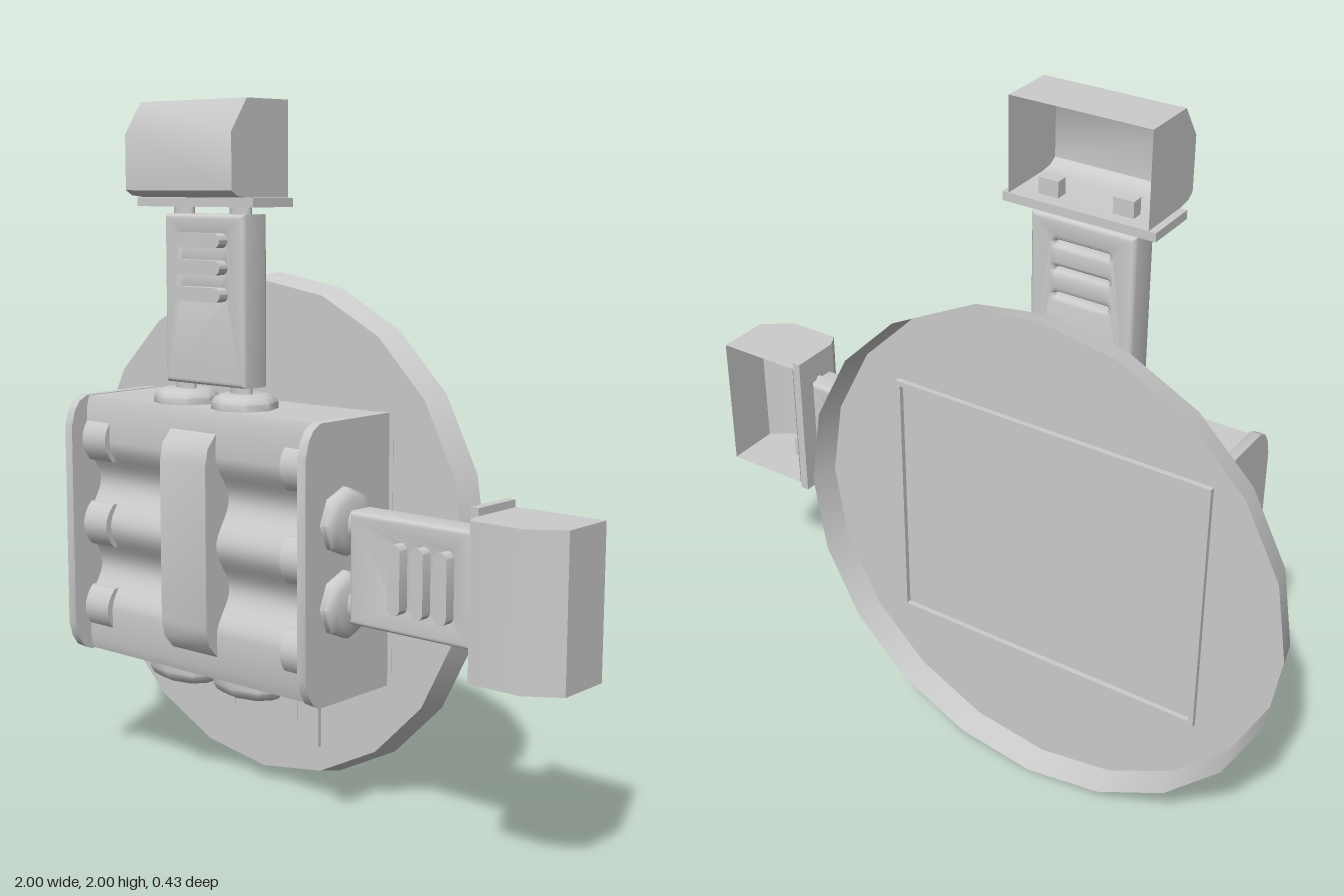
import * as THREE from 'three';
import { toCreasedNormals } from 'three/addons/utils/BufferGeometryUtils.js';

const grey = new THREE.MeshStandardMaterial({ color: 0xcccccc, side: THREE.DoubleSide });
const CX = -0.243, CY = 0.76;

function add(parent, name, geo, x = 0, y = 0, z = 0) {
  const m = new THREE.Mesh(geo, grey);
  m.name = name;
  m.position.set(x, y, z);
  parent.add(m);
  return m;
}
const box = (w, h, d) => new THREE.BoxGeometry(w, h, d);
const poly = (pts) => new THREE.Shape(pts.map(([a, b]) => new THREE.Vector2(a, b)));

// Extrudes a (z, y) outline along x, centred
function alongX(pts, width) {
  const g = new THREE.ExtrudeGeometry(poly(pts), { depth: width, bevelEnabled: false });
  g.translate(0, 0, -width / 2).rotateY(-Math.PI / 2);
  return toCreasedNormals(g, 0.6);
}

// Open sheet swept along x from a (z, y) path
function sheetX(pts, width) {
  const g = new THREE.PlaneGeometry(width, 1, 1, pts.length - 1);
  const p = g.attributes.position;
  for (let i = 0; i < p.count; i++) {
    const [z, y] = pts[Math.floor(i / 2)];
    p.setXYZ(i, p.getX(i), y, z);
  }
  return toCreasedNormals(g, 0.9);
}

// Shallow eight-sided socket
function socket(r, h) {
  const pts = [[r, 0], [r, h * 0.45], [r * 0.9, h * 0.8], [r * 0.72, h], [0, h]];
  return toCreasedNormals(new THREE.LatheGeometry(pts.map(([a, b]) => new THREE.Vector2(a, b)), 8), 0.9);
}

// Rounded slot outline
function slot(cy, w, h, Type) {
  const s = new Type(), r = h / 2;
  s.absarc(w / 2 - r, cy, r, -Math.PI / 2, Math.PI / 2);
  s.absarc(-w / 2 + r, cy, r, Math.PI / 2, Math.PI * 1.5);
  s.closePath();
  return s;
}

// Arm with a hollow head; grows along +y from its base
function makeArm(name, len) {
  const g = new THREE.Group();
  g.name = name;
  const y0 = 0.06, y1 = y0 + len, zc = 0.055;
  for (const s of [-1, 1]) {
    add(g, 'socket', socket(0.095, 0.042), s * 0.115, 0, 0.06);
    for (const y of [y0 - 0.01, y1 + 0.01]) {
      const pin = add(g, 'pin', new THREE.CylinderGeometry(0.038, 0.038, 0.06, 16), s * 0.11, y, 0.067);
      pin.scale.z = 0.5;
    }
  }
  // Slab with bevelled edges and three slots, each closed at the front by a rib
  const b = 0.014;
  const slab = poly([[-0.155 + b, y0 + b], [0.155 - b, y0 + b], [0.155 - b, y1 - b], [-0.155 + b, y1 - b]]);
  const ribs = [0, 1, 2].map((i) => y1 - 0.072 - i * 0.075);
  for (const y of ribs) slab.holes.push(slot(y, 0.19, 0.04, THREE.Path));
  const sg = new THREE.ExtrudeGeometry(slab, {
    depth: 0.1 - 2 * b, bevelSize: b, bevelThickness: b, bevelSegments: 3, curveSegments: 8 });
  add(g, 'armSlab', toCreasedNormals(sg, 0.7), 0, 0, zc - 0.05 + b);
  for (const y of ribs) {
    const rg = new THREE.ExtrudeGeometry(slot(y, 0.19, 0.04, THREE.Shape), {
      depth: 0.075, bevelEnabled: false, curveSegments: 8 });
    add(g, 'rib', toCreasedNormals(rg, 0.6), 0, 0, 0.063);
  }
  // Flange and thin-walled head, open at the back
  const f = y1 + 0.02, h = f + 0.025, top = h + 0.265;
  add(g, 'flange', box(0.45, 0.025, 0.16), 0, f + 0.0125, 0.06);
  const wall = [[-0.022, h + 0.001], [0.14, h + 0.001], [0.18, h + 0.006], [0.203, h + 0.02],
    [0.203, top - 0.09], [0.142, top], [-0.022, top]];
  add(g, 'headShell', sheetX(wall, 0.41));
  for (const s of [-1, 1]) {
    add(g, 'headSide', new THREE.ShapeGeometry(poly(wall)).rotateY(-Math.PI / 2), s * 0.205);
    add(g, 'prong', box(0.06, 0.05, 0.035), s * 0.11, h + 0.022, 0.035);
  }
  return g;
}

export function createModel() {
  const root = new THREE.Group();

  // Hollow twenty-sided dish, open at the back
  const rim = new THREE.CylinderGeometry(0.737, 0.757, 0.077, 20, 1, true).rotateX(Math.PI / 2);
  add(root, 'dishRim', rim, CX, CY, -0.1795);
  add(root, 'dishFace', new THREE.CircleGeometry(0.737, 20), CX, CY, -0.141);

  // Rectangular frame inside the dish
  for (const s of [-1, 1]) {
    add(root, 'frameSide', box(0.015, 0.785, 0.016), CX + s * 0.482, CY, -0.148);
    add(root, 'frameRail', box(0.979, 0.015, 0.016), CX, CY + s * 0.385, -0.148);
  }

  // Body with three soft waves across the front
  const body = [[-0.141, 0.372], [0.142, 0.372], [0.15, 0.4]];
  for (let k = 0; k <= 32; k++) {
    const t = k / 32;
    body.push([0.127 + 0.026 * Math.cos(t * Math.PI * 4), 0.505 + 0.515 * t]);
  }
  body.push([0.15, 1.12], [0.142, 1.148], [-0.141, 1.148]);
  add(root, 'body', alongX(body, 0.92), CX);

  // End plates with rounded front corners, and curved tabs on each wave
  const plate = [[-0.141, 0.37], [0.15, 0.37], [0.18, 0.385], [0.2, 0.415], [0.212, 0.46],
    [0.212, 1.06], [0.2, 1.105], [0.18, 1.135], [0.15, 1.15], [-0.141, 1.15]];
  const tab = [[0.12, -0.065]];
  for (let k = 0; k <= 8; k++) {
    const t = k / 4 - 1;
    tab.push([0.172 - 0.03 * t * t, 0.065 * t]);
  }
  tab.push([0.12, 0.065]);
  for (const s of [-1, 1]) {
    add(root, 'endPlate', alongX(plate, 0.03), CX + s * 0.461);
    for (let i = 0; i < 3; i++) add(root, 'endTab', alongX(tab, 0.1), CX + s * 0.397, 0.505 + i * 0.2575);
  }

  // Strap with bent ends
  add(root, 'strap', alongX([[0.08, 0.44], [0.15, 0.44], [0.185, 0.48], [0.195, 0.53],
    [0.195, 0.995], [0.185, 1.045], [0.15, 1.085], [0.08, 1.085]], 0.18), CX);

  // Two arms
  const topArm = makeArm('topArm', 0.48);
  topArm.position.set(CX, 1.15, 0);
  const sideArm = makeArm('sideArm', 0.4);
  sideArm.position.set(0.231, CY, 0);
  sideArm.rotation.z = -Math.PI / 2;
  root.add(topArm, sideArm);

  // Lower sockets, clip plate and clips
  for (const s of [-1, 1]) {
    const d = add(root, 'lowerSocket', socket(0.13, 0.05), CX + s * 0.13, 0.372, 0.065);
    d.rotation.x = Math.PI;
    d.scale.z = 0.55;
    add(root, 'clip', box(0.125, 0.1, 0.016), CX + s * 0.125, 0.27, -0.09);
  }
  add(root, 'clipPlate', box(0.53, 0.15, 0.014), CX, 0.228, -0.092);
  return root;
}
